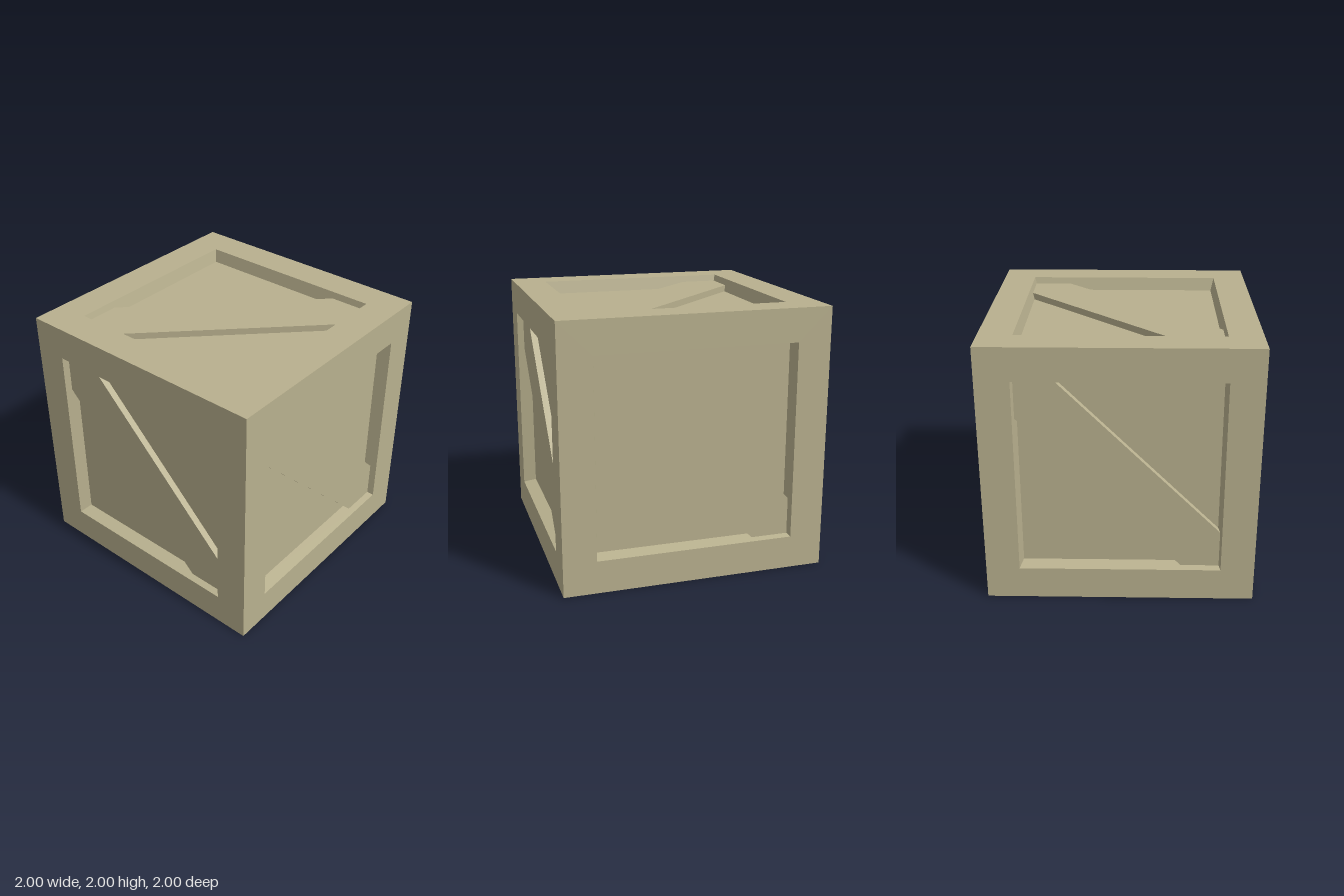
import * as THREE from 'three';

const OPEN = 0.75;    // half width of the recess at the surface
const FLOOR = 0.727;  // half width of the recess at its floor
const DEPTH = 0.1;    // recess depth
const BRACE = 0.05;   // thickness of the diagonal plank
const BAND = 0.285;   // half width of the plank, measured along an edge

const squarePoints = (s) => [[-s, -s], [s, -s], [s, s], [-s, s]].map(([x, y]) => new THREE.Vector2(x, y));

// Square border, mitred at the outer edge, with sloping walls around the recess
function frameGeometry() {
  const shape = new THREE.Shape(squarePoints(1));
  shape.holes.push(new THREE.Path(squarePoints(OPEN).reverse()));
  const geo = new THREE.ExtrudeGeometry(shape, { depth: DEPTH, bevelEnabled: false });
  const p = geo.attributes.position;
  for (let i = 0; i < p.count; i++) {
    if (p.getZ(i) > DEPTH / 2) continue;
    const k = Math.abs(p.getX(i)) > 0.9 ? 1 - DEPTH : FLOOR / OPEN;
    p.setXY(i, p.getX(i) * k, p.getY(i) * k);
  }
  geo.translate(0, 0, 1 - DEPTH);
  geo.computeVertexNormals();
  return geo;
}

// Diagonal plank with its ends cut to the corners of the recess
function braceGeometry() {
  const e = (OPEN + FLOOR) / 2, c = e - BAND;
  const pts = [[-e, e], [-e, c], [c, -e], [e, -e], [e, -c], [-c, e]];
  const shape = new THREE.Shape(pts.map(([x, y]) => new THREE.Vector2(x, y)));
  return new THREE.ExtrudeGeometry(shape, { depth: BRACE, bevelEnabled: false }).translate(0, 0, 1 - DEPTH);
}

export function createModel() {
  const crate = new THREE.Group();
  crate.name = 'crate';
  const wood = new THREE.MeshStandardMaterial({ color: 0xb8b08e });

  const parts = {
    frame: frameGeometry(),
    panel: new THREE.PlaneGeometry(2 * FLOOR, 2 * FLOOR).translate(0, 0, 1 - DEPTH),
    brace: braceGeometry(),
  };

  // The same side six times; top and bottom get a quarter turn in their plane
  const q = Math.PI / 2;
  const sides = {
    front: [0, 0, 0], right: [0, q, 0], back: [0, 2 * q, 0], left: [0, -q, 0],
    top: [-q, 0, q], bottom: [q, 0, q],
  };
  for (const [name, rotation] of Object.entries(sides)) {
    const side = new THREE.Group();
    side.name = name + 'Side';
    for (const [part, geo] of Object.entries(parts)) {
      const mesh = new THREE.Mesh(geo, wood);
      mesh.name = part;
      side.add(mesh);
    }
    side.rotation.set(...rotation);
    side.position.y = 1;
    crate.add(side);
  }
  return crate;
}
